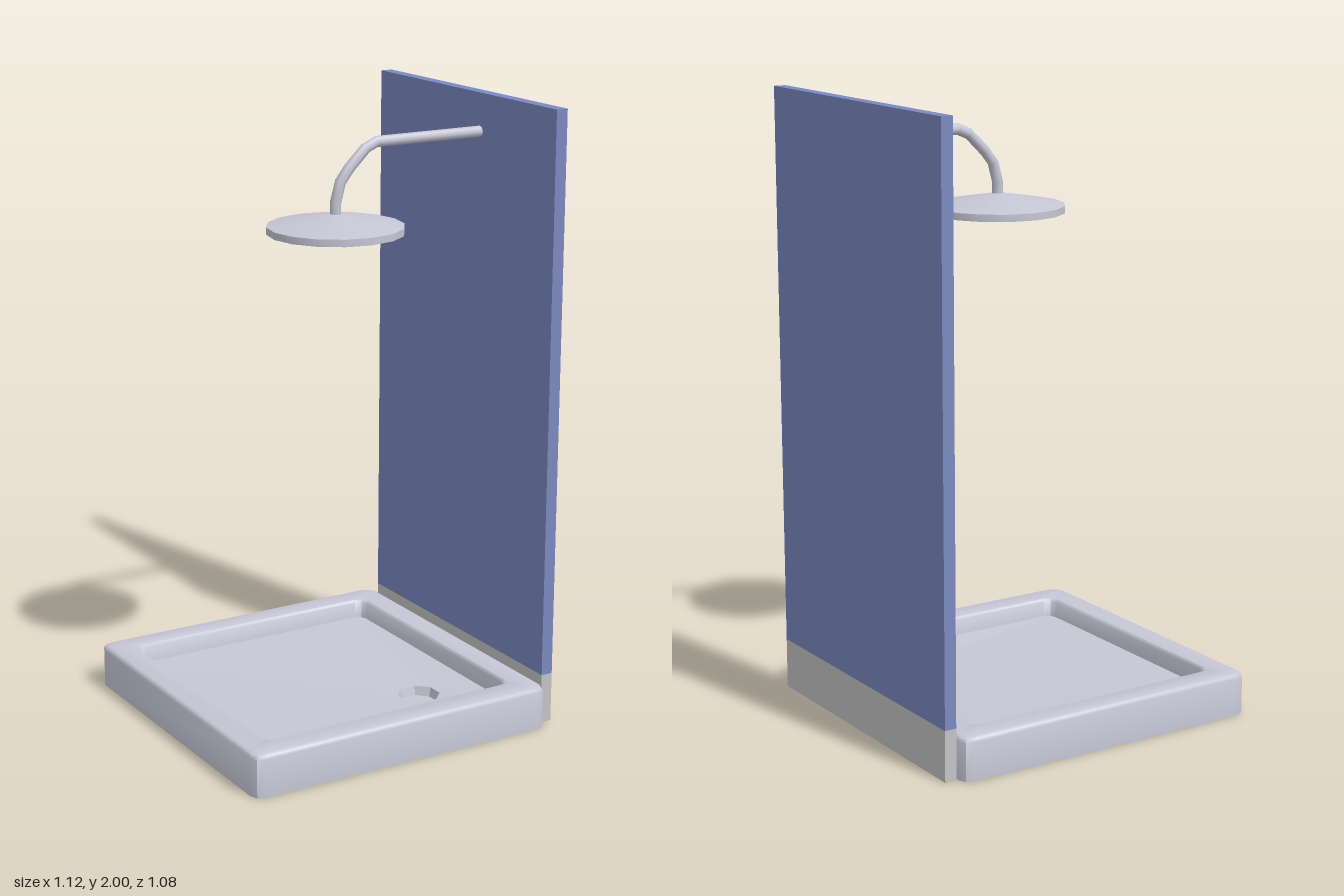
import * as THREE from 'three';
import { toCreasedNormals } from 'three/addons/utils/BufferGeometryUtils.js';

// Twelve-point rectangle outline at height y, each corner cut by three points
function ring(x0, x1, z0, z1, cut, y, flat = false) {
  const pts = [];
  const corners = [[x1 - cut, z1 - cut], [x0 + cut, z1 - cut], [x0 + cut, z0 + cut], [x1 - cut, z0 + cut]];
  corners.forEach(([cx, cz], q) => {
    for (let k = 0; k < 3; k++) {
      const a = (q + k / 2) * Math.PI / 2;
      const r = flat && k === 1 ? cut * Math.SQRT1_2 : cut;
      pts.push([cx + Math.cos(a) * r, y, cz + Math.sin(a) * r]);
    }
  });
  return pts;
}

// Skin a series of equal-length outlines
function loft(rings, crease) {
  const n = rings[0].length, index = [];
  for (let i = 0; i < rings.length - 1; i++) {
    for (let j = 0; j < n; j++) {
      const a = i * n + j, b = i * n + (j + 1) % n, c = a + n, d = b + n;
      index.push(a, c, b, b, c, d);
    }
  }
  const geo = new THREE.BufferGeometry();
  geo.setAttribute('position', new THREE.Float32BufferAttribute(rings.flat(2), 3));
  geo.setIndex(index);
  return toCreasedNormals(geo, crease);
}

// Curve whose tube rings fall exactly on the given points
class PipePath extends THREE.CatmullRomCurve3 {
  getPointAt(t, target) { return this.getPoint(t, target); }
  getTangentAt(t, target) { return this.getTangent(t, target); }
}

export function createModel() {
  const group = new THREE.Group();
  const enamel = new THREE.MeshStandardMaterial({ name: 'enamel grey', color: 0xc6c6d6 });
  const blue = new THREE.MeshStandardMaterial({ name: 'panel blue', color: 0x7b89bf });
  const plinth = new THREE.MeshStandardMaterial({ name: 'plinth grey', color: 0xc4c4c6 });
  const add = (name, geo, mat, x = 0, y = 0, z = 0) => {
    const mesh = new THREE.Mesh(geo, mat);
    mesh.name = name;
    mesh.position.set(x, y, z);
    group.add(mesh);
    return mesh;
  };

  // Tray: underside, sides, rim, inner walls, sloping floor and drain well
  const outer = (i, y, cut = 0.035) => ring(-0.56 + i, 0.515 - i, -0.54 + i, 0.54 - i, cut, y);
  const inner = (i, y, cut = 0.03) => ring(-0.475 + i, 0.43 - i, -0.455 + i, 0.45 - i, cut, y);
  const dx = 0.222, dz = 0.23;
  const drain = (r, y) => ring(dx - r, dx + r, dz - r, dz + r, r * (2 - Math.SQRT2), y, true);
  add('tray', loft([
    ring(-0.02, -0.02, 0, 0, 0, 0),
    outer(0, 0), outer(0, 0.125), outer(0.004, 0.135), outer(0.014, 0.14),
    inner(0, 0.14), inner(0.007, 0.133), inner(0.015, 0.08),
    drain(0.065, 0.066), drain(0.058, 0.036), drain(0, 0.036),
  ], 0.75), enamel);

  // Wall panel standing on its grey base
  add('wallBase', new THREE.BoxGeometry(0.04, 0.165, 1), plinth, 0.54, 0.0825, 0);
  add('wallPanel', new THREE.BoxGeometry(0.04, 1.835, 1), blue, 0.54, 1.0825, 0);

  // Shower head: shallow cone over a thin disc
  const hx = -0.013, hz = 0.09;
  const head = new THREE.LatheGeometry([
    [0, 1.605], [0.217, 1.605], [0.217, 1.628], [0.016, 1.665], [0, 1.665],
  ].map(([r, y]) => new THREE.Vector2(r, y)), 16);
  add('showerHead', toCreasedNormals(head, 0.6), enamel, hx, 0, hz);

  // Bent supply arm running into the wall
  const path = new PipePath([
    [hx, 1.65], [hx, 1.7], [0.004, 1.762], [0.035, 1.802],
    [0.095, 1.86], [0.135, 1.877], [0.525, 1.877],
  ].map(([x, y]) => new THREE.Vector3(x, y, hz)));
  add('showerArm', new THREE.TubeGeometry(path, 6, 0.018, 8, false), enamel);

  return group;
}
